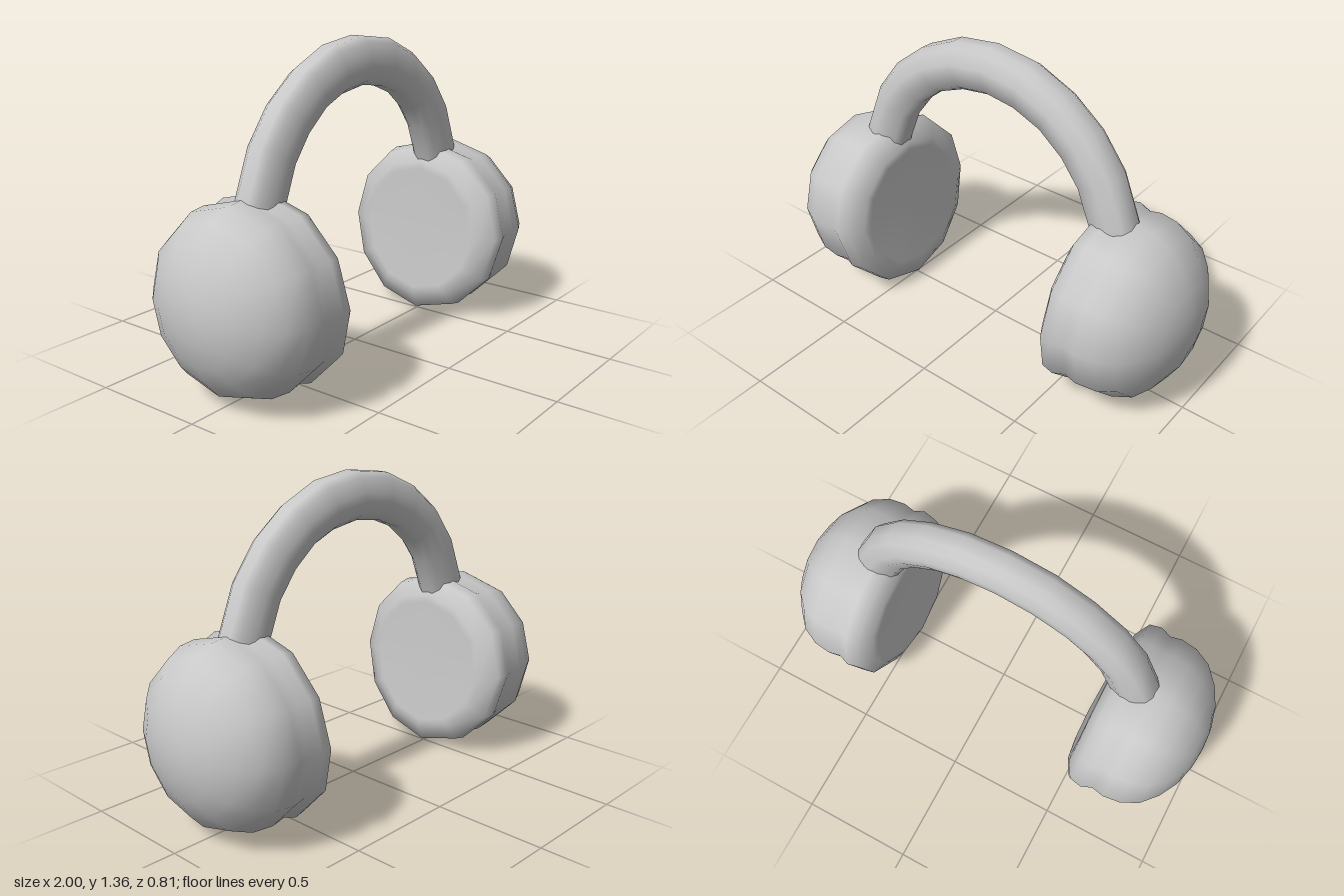
import * as THREE from 'three';
import { mergeVertices } from 'three/addons/utils/BufferGeometryUtils.js';

const CUP_Y = 0.408;

// Twelve-sided cup turned about x; its pad side leans inward towards the bottom
function cupGeometry() {
  const profile = [
    [0, 0.493], [0.29, 0.495], [0.325, 0.5], [0.395, 0.54], [0.406, 0.595], [0.387, 0.645],
    [0.398, 0.7], [0.388, 0.778], [0.35, 0.855], [0.28, 0.918], [0.195, 0.965], [0.1, 0.991], [0, 1],
  ].map(([r, x]) => new THREE.Vector2(r, x));
  let geo = new THREE.LatheGeometry(profile, 12);
  geo.rotateZ(-Math.PI / 2);
  const p = geo.attributes.position;
  for (let i = 0; i < p.count; i++) {
    const x = p.getX(i), t = p.getY(i) / 0.406;
    const weight = 1 - THREE.MathUtils.smoothstep(x, 0.6, 0.85);
    p.setX(i, x + weight * (0.03 * t - 0.027 * t * t));
    p.setY(i, p.getY(i) + CUP_Y);
  }
  geo.deleteAttribute('uv');
  geo.deleteAttribute('normal');
  geo = mergeVertices(geo, 1e-4);
  geo.computeVertexNormals();
  return geo;
}

// Arched band: one rounded section stretched between an outer and an inner arc
function bandGeometry() {
  // outer x, outer y, inner x, inner y; from the crown down to the hidden end
  const half = [
    [0, 1.365, 0, 1.16], [0.19, 1.34, 0.14, 1.14], [0.365, 1.262, 0.265, 1.09],
    [0.51, 1.15, 0.37, 1.005], [0.625, 1.0, 0.45, 0.9], [0.705, 0.8, 0.508, 0.755],
    [0.735, 0.68, 0.54, 0.66],
  ];
  const stations = [
    ...half.slice(1).reverse().map(([a, b, c, d]) => [-a, b, -c, d]),
    ...half,
  ];
  // z offset, and height across the band (-1 inner, 1 outer)
  const side = [[0.03, -1], [0.062, -0.78], [0.085, -0.2], [0.085, 0.2], [0.062, 0.78], [0.03, 1]];
  const section = [...side, ...side.slice().reverse().map(([z, h]) => [-z, h])];
  const n = section.length, pos = [], index = [];
  stations.forEach(([ox, oy, ix, iy], i) => {
    section.forEach(([z, h], j) => {
      const k = (h + 1) / 2;
      pos.push(ix + (ox - ix) * k, iy + (oy - iy) * k, z + 0.01);
      if (i < stations.length - 1) {
        const a = i * n + j, c = i * n + (j + 1) % n;
        index.push(a, a + n, c, a + n, c + n, c);
      }
    });
  });
  const geo = new THREE.BufferGeometry();
  geo.setAttribute('position', new THREE.Float32BufferAttribute(pos, 3));
  geo.setIndex(index);
  geo.computeVertexNormals();
  return geo;
}

export function createModel() {
  const group = new THREE.Group();
  group.name = 'headphones';
  const grey = new THREE.MeshStandardMaterial({ color: 0xc8c8c8 });
  grey.name = 'lightGrey';

  const band = new THREE.Mesh(bandGeometry(), grey);
  band.name = 'headband';
  group.add(band);

  // The cup is symmetric in z, so a half turn gives the opposite one
  const cup = cupGeometry();
  for (const name of ['leftEarCup', 'rightEarCup']) {
    const mesh = new THREE.Mesh(cup, grey);
    mesh.name = name;
    if (name === 'rightEarCup') mesh.rotation.y = Math.PI;
    group.add(mesh);
  }
  return group;
}
